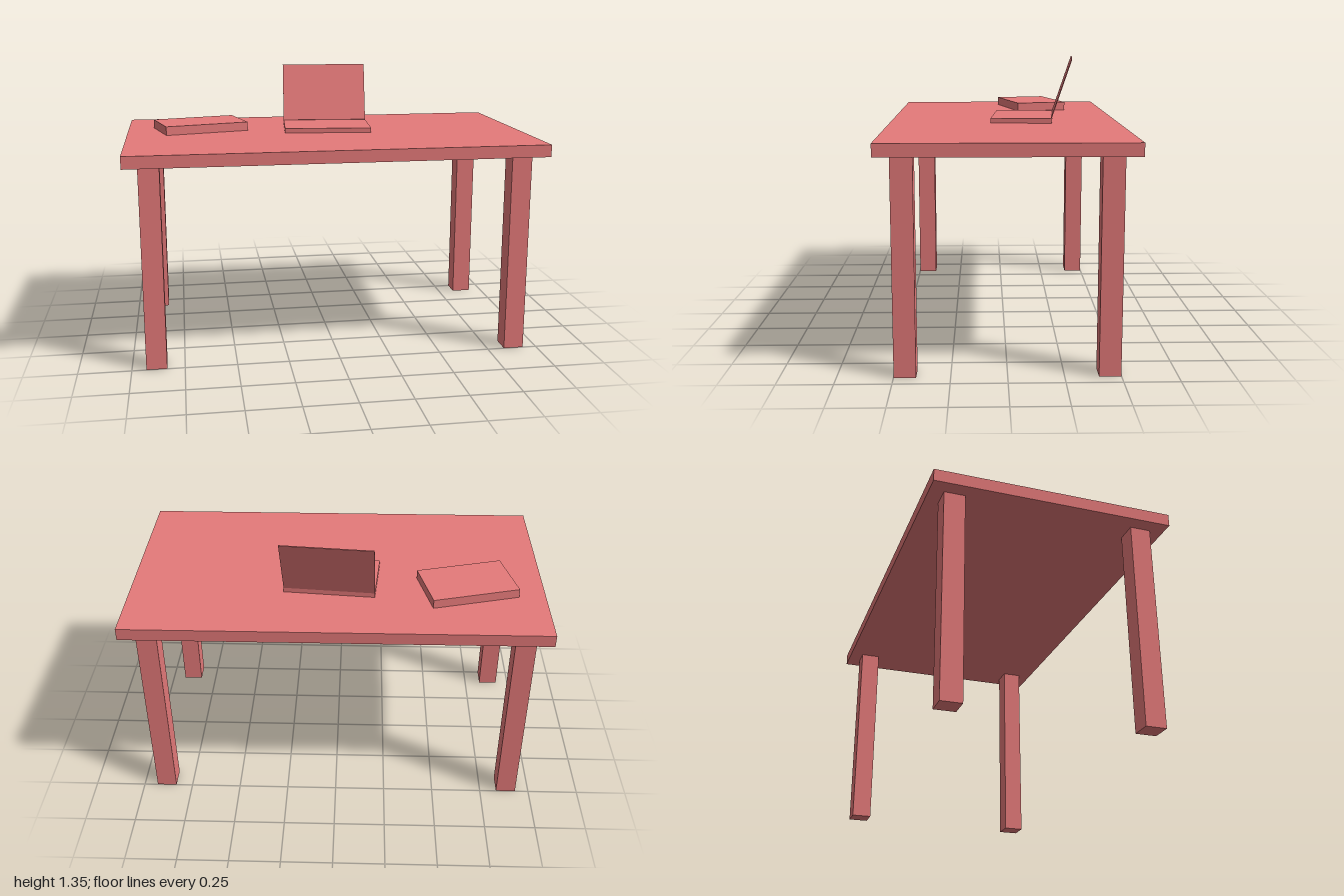
import * as THREE from 'three';

const material = new THREE.MeshStandardMaterial({ color: 0xe57a7a });

// Box whose bottom face sits at height y
function box(name, w, h, d, x, y, z) {
  const mesh = new THREE.Mesh(new THREE.BoxGeometry(w, h, d), material);
  mesh.name = name;
  mesh.position.set(x, y + h / 2, z);
  return mesh;
}

export function createModel() {
  const model = new THREE.Group();
  model.name = 'deskWithLaptop';
  const legHeight = 0.983;
  const deskHeight = 1.042;

  // Table top and four square legs
  model.add(box('tableTop', 2, deskHeight - legHeight, 1.13, 0, legHeight, 0));
  for (const [side, sx] of [['Left', 1], ['Right', -1]]) {
    for (const [end, sz] of [['front', 1], ['back', -1]]) {
      model.add(box(end + side + 'Leg', 0.098, legHeight, 0.098, sx * 0.883, 0, sz * 0.45));
    }
  }

  // Closed book, turned on the desk
  const book = box('book', 0.428, 0.044, 0.273, -0.63, deskHeight, -0.17);
  book.rotation.y = 0.248;
  model.add(book);

  // Open laptop: base slab and thin lid hinged at its back edge
  const laptop = new THREE.Group();
  laptop.name = 'laptop';
  laptop.position.set(0.024, deskHeight, -0.101);
  laptop.rotation.y = -0.087;
  const baseHeight = 0.023, depth = 0.301, width = 0.44;
  laptop.add(box('laptopBase', width, baseHeight, depth, 0, 0, 0));

  const hinge = new THREE.Group();
  hinge.name = 'laptopLid';
  hinge.position.set(0, baseHeight, -depth / 2);
  hinge.rotation.x = -0.325;
  hinge.add(box('laptopScreen', width, 0.304, 0.005, 0, 0, 0.0025));
  laptop.add(hinge);
  model.add(laptop);

  return model;
}
